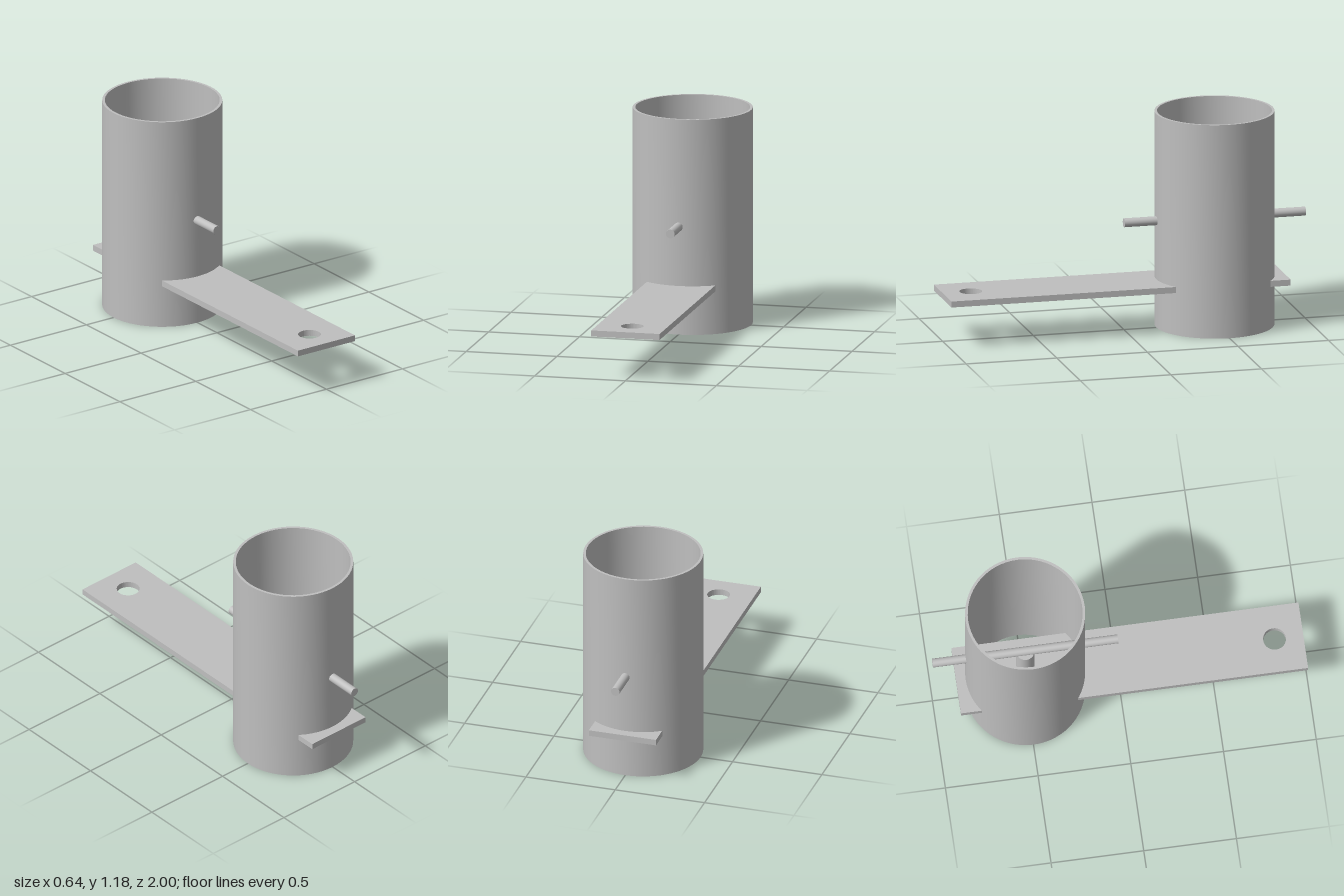
import * as THREE from 'three';
import { toCreasedNormals } from 'three/addons/utils/BufferGeometryUtils.js';

const TUBE_Z = -0.5;

// Circular hole centred on x = 0 at the given z (shape y is -z)
function holeAt(z, radius) {
  return new THREE.Path().absarc(0, -z, radius, 0, Math.PI * 2, true);
}

// Extrude a plan-view shape upwards from y = bottom
function extrudeUp(shape, bottom, height) {
  const geometry = new THREE.ExtrudeGeometry(shape, {
    depth: height, bevelEnabled: false, curveSegments: 32,
  });
  geometry.rotateX(-Math.PI / 2).translate(0, bottom, 0);
  return toCreasedNormals(geometry, 0.6);
}

export function createModel() {
  const group = new THREE.Group();
  const steel = new THREE.MeshStandardMaterial({ color: 0xbfbfbf });
  steel.name = 'steel grey';

  function add(name, geometry) {
    const mesh = new THREE.Mesh(geometry, steel);
    mesh.name = name;
    group.add(mesh);
    return mesh;
  }

  // Open thin-walled tube
  const ring = new THREE.Shape().absarc(0, -TUBE_Z, 0.321, 0, Math.PI * 2, false);
  ring.holes.push(holeAt(TUBE_Z, 0.307));
  add('tube', extrudeUp(ring, 0, 1.177));

  // Flat bar running through the tube, drilled near both ends
  const bar = new THREE.Shape([
    new THREE.Vector2(-0.188, -1),
    new THREE.Vector2(0.188, -1),
    new THREE.Vector2(0.188, 0.872),
    new THREE.Vector2(-0.188, 0.872),
  ]);
  bar.holes.push(holeAt(0.845, 0.061), holeAt(-0.697, 0.061));
  add('mountingBar', extrudeUp(bar, 0.233, 0.033));

  // Cross rod through the tube walls
  const rod = add('crossRod', new THREE.CylinderGeometry(0.024, 0.024, 1, 24));
  rod.rotation.x = Math.PI / 2;
  rod.position.set(0, 0.589, TUBE_Z);

  // Upright stud between the bar and the cross rod
  const stud = add('stud', new THREE.CylinderGeometry(0.05, 0.05, 0.325, 32));
  stud.position.set(0, 0.4225, TUBE_Z);

  return group;
}
